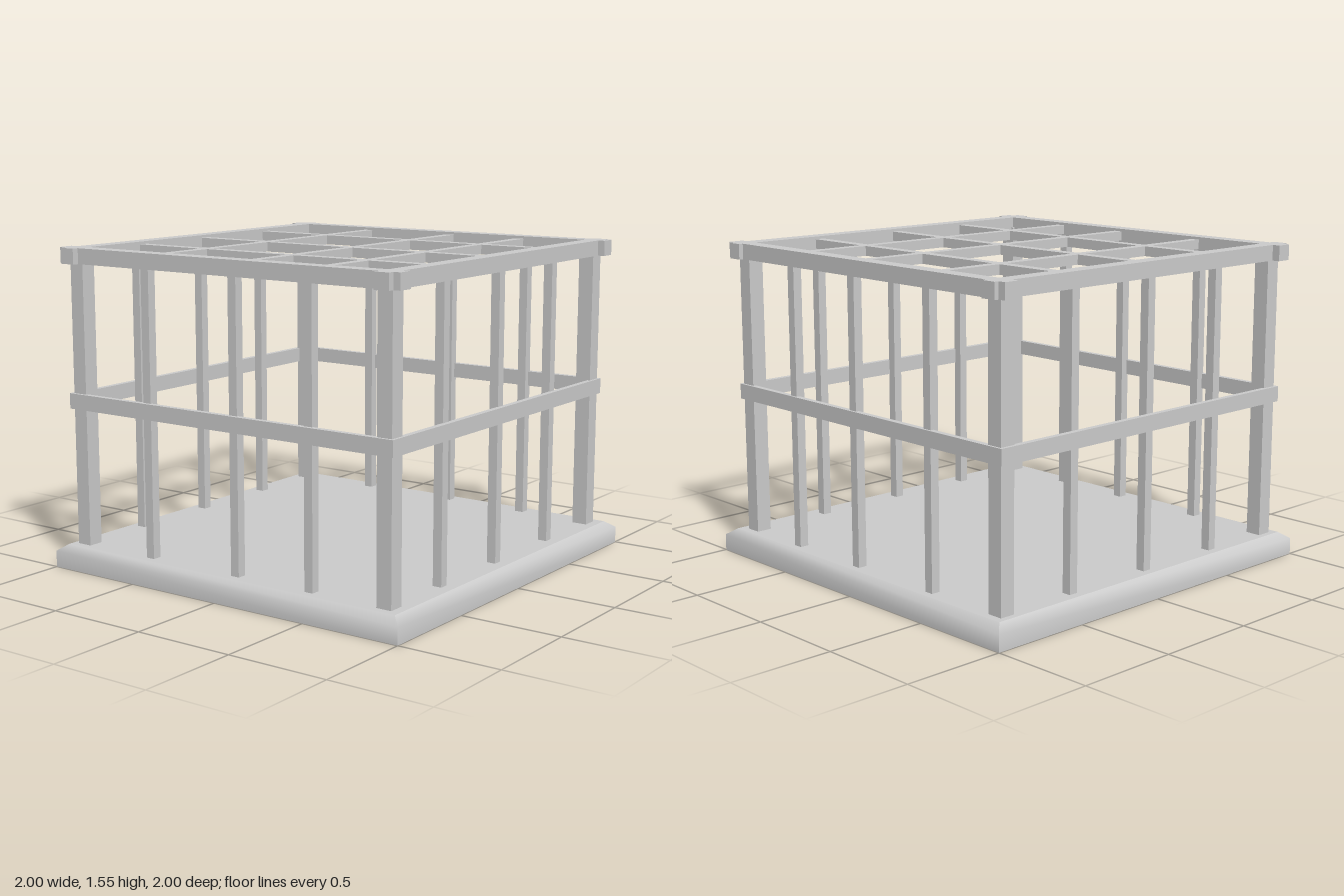
import * as THREE from 'three';

const mat = new THREE.MeshStandardMaterial({ color: 0xcccccc });

// Box given by its [min, max] range on each axis
function bar(parent, name, [x0, x1], [y0, y1], [z0, z1]) {
  const m = new THREE.Mesh(new THREE.BoxGeometry(x1 - x0, y1 - y0, z1 - z0), mat);
  m.position.set((x0 + x1) / 2, (y0 + y1) / 2, (z0 + z1) / 2);
  m.name = name;
  parent.add(m);
}

const around = (c, w) => [c - w / 2, c + w / 2];

function group(parent, name) {
  const g = new THREE.Group();
  g.name = name;
  parent.add(g);
  return g;
}

// One side of the base: upright face and bevel, smooth across the fold
function baseSideGeometry(rings) {
  const pos = [], index = [];
  rings.forEach(([r, y], i) => {
    pos.push(-r, y, r, r, y, r);
    if (i > 0) {
      const a = 2 * (i - 1);
      index.push(a, a + 1, a + 2, a + 2, a + 1, a + 3);
    }
  });
  const g = new THREE.BufferGeometry();
  g.setAttribute('position', new THREE.Float32BufferAttribute(pos, 3));
  g.setIndex(index);
  g.computeVertexNormals();
  return g;
}

export function createModel() {
  const model = new THREE.Group();
  model.name = 'cage';

  // Base slab with bevelled upper edge
  const base = group(model, 'base');
  const sideGeo = baseSideGeometry([[1, 0], [1, 0.08], [0.955, 0.112]]);
  for (let i = 0; i < 4; i++) {
    const side = new THREE.Mesh(sideGeo, mat);
    side.rotation.y = i * Math.PI / 2;
    side.name = 'baseSide';
    base.add(side);
  }
  const floor = new THREE.Mesh(new THREE.PlaneGeometry(1.91, 1.91), mat);
  floor.rotation.x = -Math.PI / 2;
  floor.position.y = 0.112;
  floor.name = 'floor';
  const underside = new THREE.Mesh(new THREE.PlaneGeometry(2, 2), mat);
  underside.rotation.x = Math.PI / 2;
  underside.name = 'underside';
  base.add(floor, underside);

  // Corner posts
  const posts = group(model, 'cornerPosts');
  for (const x of [-0.888, 0.873])
    for (const z of [-0.88, 0.88])
      bar(posts, 'cornerPost', around(x, 0.077), [0.1, 1.5], around(z, 0.077));

  // Upright bars of the four walls
  const uprights = group(model, 'uprightBars');
  const frontX = [-0.462, 0.053, 0.47], backX = [-0.462, 0.053, 0.502];
  const wallZ = [-0.467, 0.02, 0.487];
  const t = 0.045, barY = [0.1, 1.51];
  for (const x of frontX) bar(uprights, 'frontBar', around(x, t), barY, around(0.892, t));
  for (const x of backX) bar(uprights, 'backBar', around(x, t), barY, around(-0.897, t));
  for (const z of wallZ) {
    bar(uprights, 'leftBar', around(0.879, t), barY, around(z, t));
    bar(uprights, 'rightBar', around(-0.893, t), barY, around(z, t));
  }

  // Thin rails around the middle
  const rails = group(model, 'middleRails');
  const railY = [0.78, 0.855], railX = [-0.943, 0.925], railZ = [-0.931, 0.933];
  bar(rails, 'frontRail', railX, railY, [0.905, 0.933]);
  bar(rails, 'backRail', railX, railY, [-0.931, -0.903]);
  bar(rails, 'leftRail', [0.897, 0.925], railY, railZ);
  bar(rails, 'rightRail', [-0.943, -0.915], railY, railZ);

  // Top frame, beam ends crossing past the corners
  const frame = group(model, 'topFrame');
  const beamY = [1.478, 1.553];
  for (const z of [-0.907, 0.893])
    bar(frame, 'crossBeam', [-0.98, 0.957], beamY, around(z, 0.075));
  for (const x of [-0.903, 0.884])
    bar(frame, 'sideBeam', around(x, 0.076), beamY, [-0.967, 0.963]);

  // Roof grid
  const roof = group(model, 'roofGrid');
  const roofY = [1.493, 1.54];
  for (const x of [-0.46, 0.059, 0.475])
    bar(roof, 'lengthwiseRoofBar', around(x, 0.048), roofY, [-0.89, 0.88]);
  for (const z of [-0.483, 0.015, 0.479])
    bar(roof, 'crosswiseRoofBar', [-0.89, 0.87], roofY, around(z, 0.05));

  return model;
}
